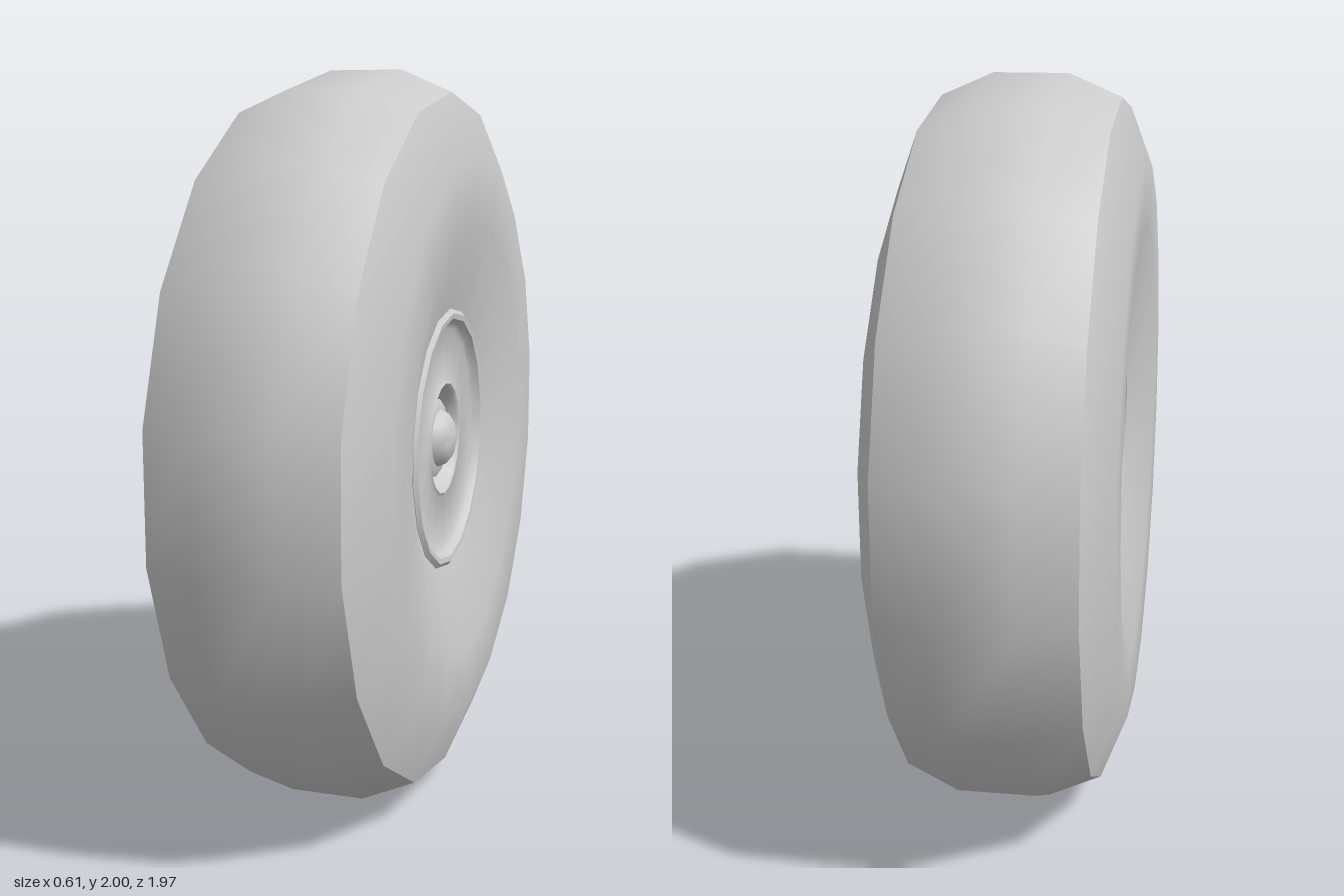
import * as THREE from 'three';
import { toCreasedNormals } from 'three/addons/utils/BufferGeometryUtils.js';

const SIDES = 18;

// Revolves [radius, x] points around the wheel's axle, which lies along x.
function revolve(name, profile, side = THREE.FrontSide) {
  const points = profile.map(([r, x]) => new THREE.Vector2(r, x));
  const lathe = new THREE.LatheGeometry(points, SIDES, Math.PI / 2);
  lathe.rotateZ(-Math.PI / 2);
  const mesh = new THREE.Mesh(
    toCreasedNormals(lathe, 0.68),
    new THREE.MeshStandardMaterial({ color: 0xcccccc, side })
  );
  mesh.name = name;
  mesh.position.y = 1;
  return mesh;
}

export function createModel() {
  const wheel = new THREE.Group();
  wheel.name = 'wheel';

  // Tire: half section from tread to bore, mirrored, closed along the bore
  const half = [[1, 0.1], [0.94, 0.24], [0.77, 0.307], [0.6, 0.305], [0.36, 0.24]];
  const mirrored = half.map(([r, x]) => [r, -x]).reverse();
  wheel.add(revolve('tire', [...mirrored, ...half, mirrored[0]]));

  // Hub plate: raised lip, flat disc and a stepped central recess
  wheel.add(revolve('hubPlate', [
    [0.362, 0.19], [0.362, 0.242], [0.35, 0.252], [0.335, 0.25], [0.325, 0.235],
    [0.31, 0.225], [0.165, 0.225], [0.155, 0.232], [0.145, 0.225], [0.13, 0.185], [0.09, 0.185]
  ], THREE.DoubleSide));

  // Axle cap: short collar with a domed end
  wheel.add(revolve('axleCap', [
    [0.11, 0.18], [0.11, 0.205], [0.1, 0.212], [0.08, 0.215],
    [0.07, 0.235], [0.05, 0.25], [0.025, 0.257], [0, 0.26]
  ], THREE.DoubleSide));

  return wheel;
}
